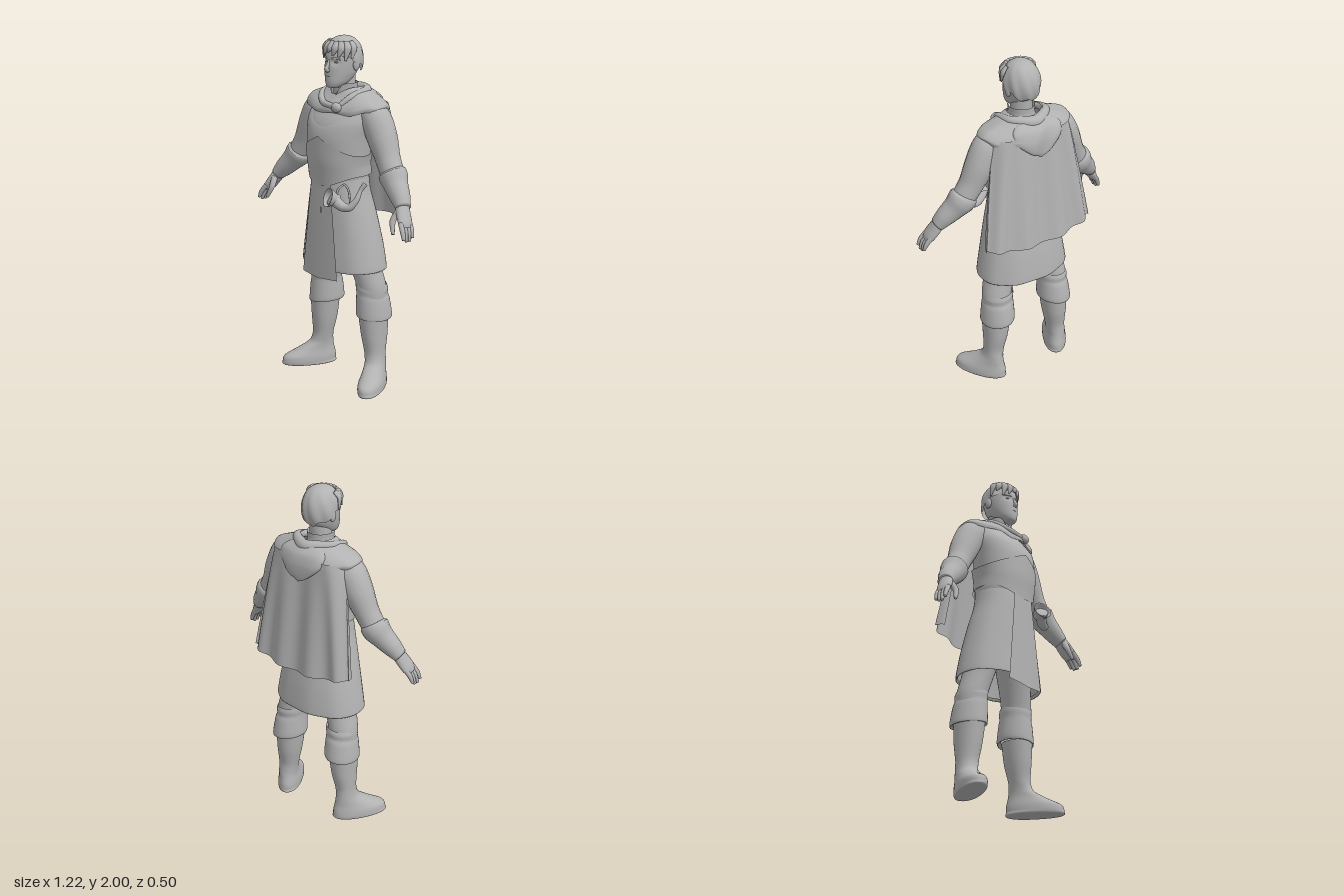
import * as THREE from 'three';
import { mergeVertices } from 'three/addons/utils/BufferGeometryUtils.js';

const { sin, cos, abs, sign, PI, max, min } = Math;
const V = (x, y, z) => new THREE.Vector3(x, y, z);

// Smooth grid surface from f(u, v) -> Vector3, faces outward along du x dv
function grid(nu, nv, f) {
  const pos = [], idx = [];
  for (let j = 0; j <= nv; j++) for (let i = 0; i <= nu; i++) pos.push(...f(i / nu, j / nv).toArray());
  for (let j = 0; j < nv; j++) for (let i = 0; i < nu; i++) {
    const a = j * (nu + 1) + i, c = a + nu + 1;
    idx.push(a, a + 1, c, a + 1, c + 1, c);
  }
  let g = new THREE.BufferGeometry();
  g.setAttribute('position', new THREE.Float32BufferAttribute(pos, 3));
  g.setIndex(idx);
  g = mergeVertices(g, 1e-5);
  g.computeVertexNormals();
  return g;
}

// Stacked horizontal sections, bottom to top: [x, y, z, rx, rz, yaw]
function body(rings, { power = 2, nu = 32, nv = rings.length * 3, tweak } = {}) {
  const mid = new THREE.CatmullRomCurve3(rings.map(r => V(r[0], r[1], r[2])), false, 'catmullrom', 0.4);
  const rad = new THREE.CatmullRomCurve3(rings.map(r => V(r[3], r[4], r[5] || 0)), false, 'catmullrom', 0.4);
  const pw = s => sign(s) * abs(s) ** (2 / power);
  return grid(nu, nv, (u, v) => {
    const a = (u % 1) * 2 * PI, c = mid.getPoint(v), r = rad.getPoint(v);
    const p = V(max(r.x, 0) * pw(sin(a)), 0, max(r.y, 0) * pw(cos(a)));
    p.applyAxisAngle(V(0, 1, 0), r.z).add(c);
    if (tweak) tweak(p, a, v);
    return p;
  });
}

// Limb along a path: [x, y, z, ra, rb]; ref sets which way the flat side faces
function limb(pts, ref = V(1, 0.5, 0), nu = 16, nv = pts.length * 4) {
  const mid = new THREE.CatmullRomCurve3(pts.map(p => V(p[0], p[1], p[2])), false, 'catmullrom', 0.4);
  const rad = new THREE.CatmullRomCurve3(pts.map(p => V(p[3], p[4] ?? p[3], 0)), false, 'catmullrom', 0.4);
  return grid(nu, nv + 2, (u, w) => {
    const j = Math.round(w * (nv + 2)), v = min(max((j - 1) / nv, 0), 1);
    const end = j === 0 || j === nv + 2 ? 0 : 1;
    const c = mid.getPoint(v), r = rad.getPoint(v), t = mid.getTangent(v), a = (u % 1) * 2 * PI;
    const A = ref.clone().cross(t).normalize(), B = t.clone().cross(A);
    return c.addScaledVector(A, cos(a) * r.x * end).addScaledVector(B, sin(a) * r.y * end);
  });
}

function mirror(g) {
  const m = g.clone().scale(-1, 1, 1), ix = m.index.array;
  for (let i = 0; i < ix.length; i += 3) [ix[i], ix[i + 1]] = [ix[i + 1], ix[i]];
  m.computeVertexNormals();
  return m;
}

export function createModel() {
  const clay = new THREE.MeshStandardMaterial({ color: 0xb2b2b2, side: THREE.DoubleSide });
  clay.name = 'plain grey';
  const root = new THREE.Group();
  root.name = 'cloakedSoldier';
  const add = (name, g) => {
    const m = new THREE.Mesh(g, clay);
    m.name = name;
    root.add(m);
    return m;
  };
  const pair = (name, g) => { add(name + 'Left', g); add(name + 'Right', mirror(g)); };
  const ball = (x, y, z, rx, ry, rz) => new THREE.SphereGeometry(1, 20, 14).scale(rx, ry, rz).translate(x, y, z);
  const front = a => max(cos(a), 0);

  // Head, with eye sockets pressed in
  add('head', body([
    [0, 1.718, 0.08, 0, 0], [0, 1.722, 0.075, 0.034, 0.042], [0, 1.75, 0.05, 0.06, 0.076], [0, 1.8, 0.025, 0.078, 0.1],
    [0, 1.86, 0.013, 0.087, 0.108], [0, 1.92, 0.008, 0.088, 0.102], [0, 1.96, 0.005, 0.07, 0.08], [0, 1.985, 0, 0, 0],
  ], {
    nu: 48, nv: 40, tweak: p => {
      if (p.z < 0.05) return;
      for (const s of [-1, 1]) p.z -= 0.012 * Math.exp(-(((p.x - s * 0.036) / 0.022) ** 2) - ((p.y - 1.862) / 0.014) ** 2);
    },
  }));
  add('nose', limb([[0, 1.872, 0.112, 0.007], [0, 1.842, 0.126, 0.01], [0, 1.824, 0.134, 0.013, 0.012], [0, 1.814, 0.122, 0.012]], V(0, 0, 1)));
  add('mouth', ball(0, 1.784, 0.118, 0.022, 0.006, 0.009));
  add('chin', ball(0, 1.744, 0.104, 0.028, 0.022, 0.02));
  pair('eye', ball(0.036, 1.862, 0.095, 0.013, 0.006, 0.009));
  pair('brow', limb([[0.016, 1.88, 0.113, 0.004], [0.038, 1.884, 0.106, 0.006], [0.062, 1.878, 0.088, 0.004]], V(0, 0, 1), 10));
  pair('ear', ball(0.09, 1.845, -0.005, 0.013, 0.034, 0.022));

  // Wavy hair cap, with loose locks over the forehead and temples
  add('hair', grid(72, 20, (u, v) => {
    const a = (u % 1) * 2 * PI;
    const low = 1.858 + 0.06 * cos(a) + 0.01 * sin(7 * a);
    const s = Math.asin((low - 1.87) / 0.128), e = s + (PI / 2 - s) * v;
    const k = max(cos(e), 0) ** 0.86 * (1 + 0.03 * sin(9 * a + 6 * v) * (1 - v));
    return V(0.103 * k * sin(a), 1.87 + 0.128 * sin(e), 0.004 + 0.114 * k * cos(a));
  }));
  for (let i = 0; i < 9; i++) {
    const a = (i - 4) * 0.33, sway = 0.012 * sin(i * 2.3), drop = 0.014 * sin(i * 1.7) - 0.014 * abs(i - 4) / 2;
    const at = (k, y, d, r) => [0.104 * k * sin(a + d), y, 0.004 + 0.112 * k * cos(a + d), r, r * 0.5];
    add('lock' + (i + 1), limb([at(0.75, 1.972, 0, 0.016), at(1.0, 1.94, 0.06, 0.021), at(1.03, 1.905 + drop + sway, -0.06, 0.006)],
      V(sin(a), 0.2, cos(a)), 10));
  }

  add('neck', body([[0, 1.62, -0.01, 0.07, 0.07], [0, 1.7, 0, 0.06, 0.062], [0, 1.79, 0, 0.057, 0.065]]));
  add('collar', body([[0, 1.64, 0, 0.09, 0.095], [0, 1.7, 0, 0.072, 0.076], [0, 1.742, 0.002, 0.074, 0.078]],
    { nu: 48, tweak: (p, a, v) => { p.y -= 0.075 * v * front(a) ** 8; } }));

  // Torso and plates
  const torso = [
    [0, 1.18, 0.03, 0.165, 0.135], [0, 1.24, 0.033, 0.176, 0.142], [0, 1.32, 0.042, 0.178, 0.146], [0, 1.45, 0.038, 0.192, 0.15],
    [0, 1.54, 0.015, 0.21, 0.148], [0, 1.62, -0.01, 0.205, 0.115], [0, 1.68, -0.01, 0.1, 0.08],
  ];
  const shell = (a, b, d) => torso.slice(a, b).map(r => [r[0], r[1], r[2], r[3] + d, r[4] + d]);
  add('torso', body(torso, { power: 2.2, nu: 40 }));
  add('breastplate', body(shell(1, 6, 0.006), {
    power: 2.2, nu: 64, nv: 20, tweak: (p, a, v) => {
      p.y += -0.055 * (1 - v) ** 4 * front(a) ** 3 - 0.06 * v ** 4 * front(a) ** 8;
    },
  }));
  add('bellyPlate', body(shell(1, 4, 0.013), {
    power: 2.2, nu: 64, tweak: (p, a, v) => {
      p.y += -0.06 * (1 - v) ** 4 * front(a) ** 3 + v * v * (0.012 - abs(p.x) * 0.5);
    },
  }));

  // Skirt with a turned hem, and the overlapping front panel
  add('skirt', body([
    [0, 0.71, 0, 0.262, 0.178], [0, 0.695, 0, 0.272, 0.187], [0, 0.71, 0, 0.277, 0.191], [0, 0.85, 0.005, 0.252, 0.18],
    [0, 1.02, 0.018, 0.215, 0.162], [0, 1.14, 0.03, 0.185, 0.147], [0, 1.235, 0.03, 0.172, 0.138],
  ], { power: 2.2, nu: 48, tweak: (p, a, v) => { p.z += 0.004 * sin(9 * a) * (1 - v); } }));
  for (const [name, u0, u1, lift] of [['frontPanelRight', -1, 0.1, 0.004], ['frontPanelLeft', 0.06, 1, 0]]) {
    add(name, grid(12, 16, (u, w) => {
      const v = 1 - w, x = (u0 + (u1 - u0) * u) * (0.075 + 0.065 * v);
      return V(x, 1.22 - 0.58 * v + 0.012 * v * abs(x) / 0.14, 0.18 + 0.018 * v + lift - 0.5 * x * x);
    }));
  }

  // Legs, boots and cuffs
  pair('leg', body([[0.2, 0.45, -0.035, 0.075, 0.08], [0.195, 0.58, -0.03, 0.085, 0.085], [0.165, 0.7, -0.015, 0.088, 0.09],
    [0.13, 0.85, 0, 0.1, 0.105], [0.1, 1.05, 0.01, 0.1, 0.11]]));
  pair('boot', body([
    [0.272, 0, 0.035, 0, 0], [0.272, 0.001, 0.035, 0.064, 0.154, 0.5], [0.272, 0.022, 0.035, 0.071, 0.163, 0.5],
    [0.268, 0.055, 0.03, 0.069, 0.156, 0.5], [0.25, 0.095, 0.0, 0.06, 0.112, 0.46], [0.232, 0.14, -0.028, 0.055, 0.073, 0.3],
    [0.222, 0.2, -0.034, 0.057, 0.064], [0.212, 0.3, -0.037, 0.068, 0.08], [0.205, 0.42, -0.036, 0.078, 0.09],
  ], { power: 2.15, nv: 36 }));
  pair('bootCuff', body([
    [0.202, 0.425, -0.045, 0.075, 0.085], [0.202, 0.41, -0.045, 0.093, 0.106], [0.2, 0.435, -0.045, 0.097, 0.109],
    [0.196, 0.52, -0.04, 0.09, 0.1], [0.192, 0.55, -0.036, 0.086, 0.093], [0.191, 0.58, -0.036, 0.089, 0.095],
    [0.188, 0.605, -0.034, 0.085, 0.09],
  ], { tweak: p => { p.y -= 0.1 * (p.x - 0.2); } }));

  // Arms, gauntlets and hands
  pair('sleeve', limb([[0.18, 1.6, -0.02, 0.075], [0.235, 1.555, -0.02, 0.086], [0.285, 1.46, -0.018, 0.084],
    [0.335, 1.36, -0.01, 0.07], [0.385, 1.275, 0, 0.066]]));
  pair('gauntlet', limb([[0.372, 1.3, 0, 0.066], [0.38, 1.287, 0, 0.078], [0.398, 1.262, 0.004, 0.078],
    [0.43, 1.225, 0.017, 0.066], [0.48, 1.175, 0.036, 0.055], [0.52, 1.13, 0.054, 0.044, 0.038]]));
  pair('palm', limb([[0.505, 1.145, 0.05, 0.038, 0.034], [0.53, 1.105, 0.064, 0.046, 0.029], [0.56, 1.06, 0.08, 0.047, 0.023],
    [0.576, 1.035, 0.086, 0.036, 0.014]]));
  for (let k = 0; k < 4; k++) {
    const o = (k - 1.5) * 0.022, d = k === 0 || k === 3 ? 0.014 : 0;
    pair('finger' + (k + 1), limb([[0.558, 1.065, 0.08 + o, 0.014], [0.588, 1.015 + d / 2, 0.093 + o, 0.0135],
      [0.603, 0.97 + d, 0.1 + o, 0.009]], undefined, 10));
  }
  pair('thumb', limb([[0.515, 1.12, 0.082, 0.019], [0.502, 1.065, 0.116, 0.017], [0.525, 1.0, 0.136, 0.009]], undefined, 10));

  // Cape hooking forward at its sides, folds deepening toward the hem
  add('cape', grid(96, 24, (u, v) => {
    const s = 1 - 2 * u, t = 1 - v, b = 1.95 * s;
    return V(sin(b) * (0.24 + 0.108 * t ** 0.8),
      1.64 - 0.675 * t + 0.035 * t * sin(b) ** 2 - 0.03 * s * s * v,
      -0.168 - 0.062 * t + 0.07 * (1 - cos(b)) + 0.013 * t ** 0.7 * cos(s * 19) + 0.012 * v * cos(s * 8));
  }));

  // Shoulder mantle, its neckline dipping at the front
  add('mantle', body([
    [0, 1.585, -0.024, 0.278, 0.164], [0, 1.612, -0.026, 0.282, 0.166], [0, 1.645, -0.026, 0.25, 0.154],
    [0, 1.685, -0.03, 0.165, 0.128], [0, 1.722, -0.025, 0.098, 0.098],
  ], {
    nu: 64, tweak: (p, a, v) => {
      p.y += (1 - v) * (0.03 * sin(a) ** 4 + 0.006 * sin(8 * a)) - 0.04 * v * front(a) ** 4;
      p.z += 0.004 * sin(11 * a) * (1 - v);
    },
  }));
  add('hoodRoll', limb([
    [0.08, 1.628, 0.118, 0.014], [0.115, 1.675, 0.055, 0.02], [0.115, 1.7, -0.06, 0.024], [0, 1.69, -0.13, 0.034],
    [-0.115, 1.7, -0.06, 0.024], [-0.115, 1.675, 0.055, 0.02], [-0.045, 1.635, 0.118, 0.018], [0.07, 1.622, 0.128, 0.016],
  ], V(0, 1, 0), 14, 56));
  add('hoodDrape', body([[0, 1.5, -0.19, 0, 0], [0, 1.53, -0.186, 0.06, 0.016], [0, 1.6, -0.166, 0.14, 0.036],
    [0, 1.66, -0.135, 0.15, 0.05], [0, 1.7, -0.11, 0.1, 0.035]], { nu: 40, tweak: (p, a, v) => { p.z += 0.005 * sin(40 * p.x + 6 * v); } }));
  add('clasp', ball(0.075, 1.622, 0.132, 0.034, 0.028, 0.024));

  // Signal horn at the hip, with a hollow bell and a strap
  add('horn', limb([
    [0.122, 1.136, 0.22, 0.036], [0.14, 1.118, 0.198, 0.032], [0.175, 1.092, 0.18, 0.027], [0.218, 1.092, 0.165, 0.021],
    [0.246, 1.135, 0.14, 0.016], [0.252, 1.185, 0.115, 0.012], [0.268, 1.222, 0.095, 0.015],
  ], V(0.3, 0.9, 0.2), 18, 36));
  const bell = add('hornBell', new THREE.LatheGeometry([[0.012, 0], [0.034, 0.022], [0.05, 0.05], [0.054, 0.055], [0.053, 0.05],
    [0.038, 0.016], [0.03, -0.01]].map(p => new THREE.Vector2(...p)), 24));
  bell.position.set(0.133, 1.125, 0.184);
  bell.quaternion.setFromUnitVectors(V(0, 1, 0), V(-0.35, 0.3, 0.9).normalize());
  add('hornStrap', limb([[0.15, 1.12, 0.2, 0.006], [0.145, 1.18, 0.185, 0.006], [0.165, 1.21, 0.155, 0.006],
    [0.195, 1.18, 0.15, 0.006], [0.22, 1.11, 0.16, 0.006]], V(0, 0, 1), 8));
  return root;
}
